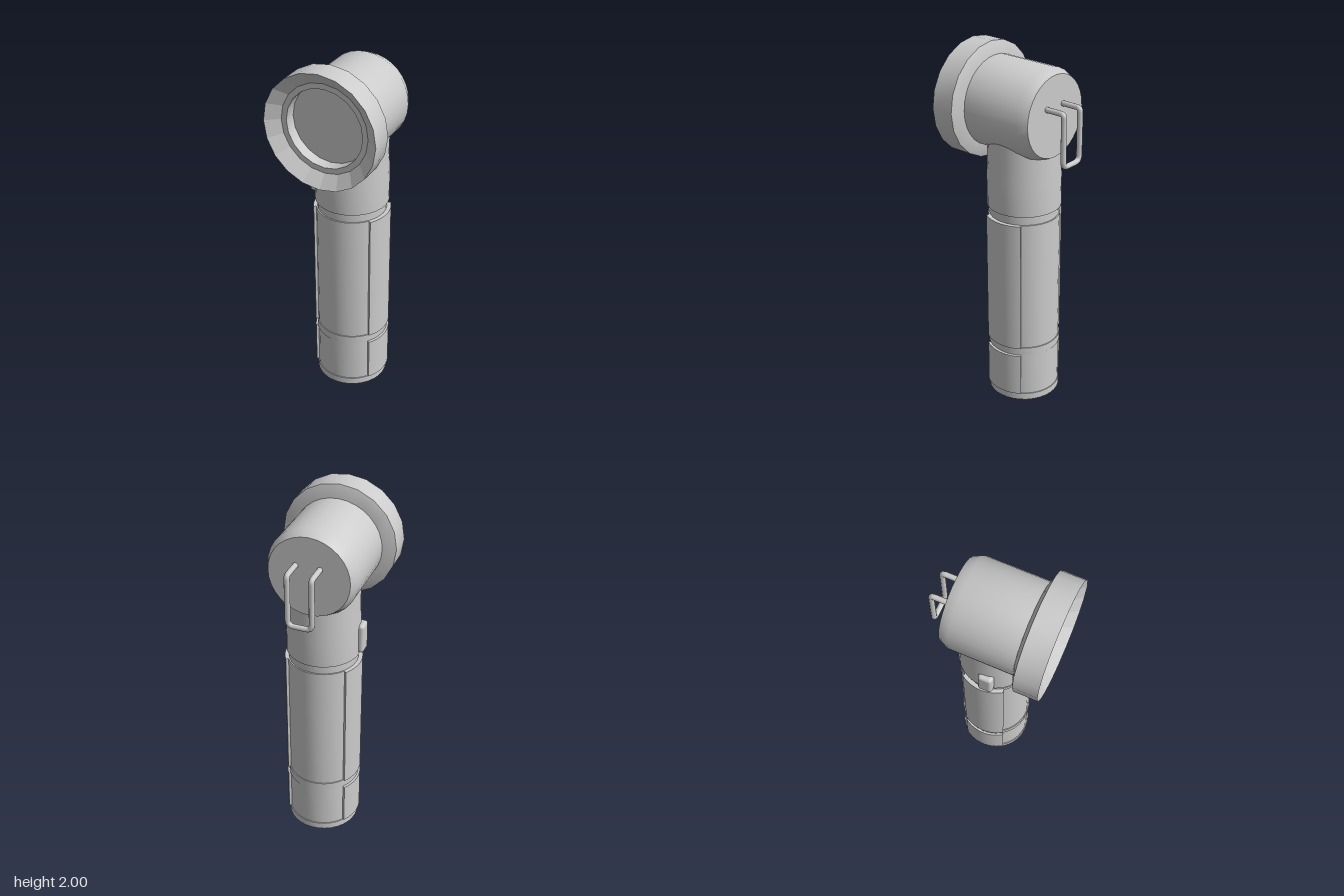
import * as THREE from 'three';
import { toCreasedNormals } from 'three/addons/utils/BufferGeometryUtils.js';
import { RoundedBoxGeometry } from 'three/addons/geometries/RoundedBoxGeometry.js';

const BODY_Z = -0.01; // handle axis
const HEAD_Y = 1.685; // lamp axis

const smooth = new THREE.MeshStandardMaterial({ color: 0xcccccc });
const faceted = new THREE.MeshStandardMaterial({ color: 0xcccccc, flatShading: true });

function addMesh(group, name, geometry, material = smooth) {
  const mesh = new THREE.Mesh(geometry, material);
  mesh.name = name;
  group.add(mesh);
  return mesh;
}

// Turned part: [radius, height] pairs, round sides with sharp steps
function turned(points, segments) {
  const profile = points.map(([r, h]) => new THREE.Vector2(r, h));
  return toCreasedNormals(new THREE.LatheGeometry(profile, segments), 0.5);
}

// Curved grip plate covering an arc around the +x side
function plate(inner, outer, halfAngle, height) {
  const shape = new THREE.Shape();
  shape.absarc(0, 0, outer, -halfAngle, halfAngle, false);
  shape.absarc(0, 0, inner, halfAngle, -halfAngle, true);
  shape.closePath();
  const geo = new THREE.ExtrudeGeometry(shape, { depth: height, bevelEnabled: false, curveSegments: 10 });
  return toCreasedNormals(geo.rotateX(-Math.PI / 2), 0.5);
}

// Path along straight runs joined by rounded corners
function roundedPath(points, radii) {
  const path = new THREE.CurvePath();
  let from = points[0];
  for (let i = 1; i < points.length - 1; i++) {
    const p = points[i], r = radii[i - 1];
    const a = p.clone().add(points[i - 1].clone().sub(p).setLength(r));
    const b = p.clone().add(points[i + 1].clone().sub(p).setLength(r));
    path.add(new THREE.LineCurve3(from, a));
    path.add(new THREE.QuadraticBezierCurve3(a, p, b));
    from = b;
  }
  path.add(new THREE.LineCurve3(from, points[points.length - 1]));
  return path;
}

export function createModel() {
  const model = new THREE.Group();
  model.name = 'angleHeadFlashlight';

  // Handle with base cap, ring and collar
  const handle = new THREE.Group();
  handle.name = 'handle';
  handle.position.z = BODY_Z;
  model.add(handle);
  addMesh(handle, 'barrel', turned([
    [0, 0], [0.2, 0], [0.2, 0.04], [0.195, 0.04],
    [0.195, 0.3], [0.2, 0.3], [0.2, 0.345], [0.195, 0.345],
    [0.195, 1.1], [0.188, 1.1], [0.188, 1.16],
  ], 32));
  addMesh(handle, 'collar', turned([
    [0.18, 1.15], [0.2, 1.15], [0.2, 1.33], [0.195, 1.43], [0.195, 1.58], [0, 1.58],
  ], 32));

  // Grip plates on both sides
  for (const side of [1, -1]) {
    for (const [name, y, height] of [['lowerGrip', 0.045, 0.25], ['upperGrip', 0.345, 0.755]]) {
      const grip = addMesh(handle, name, plate(0.185, 0.21, 0.608, height));
      grip.position.y = y;
      grip.rotation.y = side > 0 ? 0 : Math.PI;
    }
  }

  // Slide switch
  const slide = addMesh(handle, 'switch', new RoundedBoxGeometry(0.055, 0.17, 0.08, 3, 0.018));
  slide.position.set(-0.198, 1.245, 0.03);

  // Lamp head, lying along z
  const head = new THREE.Group();
  head.name = 'head';
  head.position.y = HEAD_Y;
  head.rotation.x = Math.PI / 2;
  model.add(head);
  addMesh(head, 'housing', turned([
    [0, -0.215], [0.22, -0.215], [0.245, -0.16], [0.245, 0.19],
  ], 32));
  addMesh(head, 'bezel', turned([
    [0.24, 0.185], [0.245, 0.185], [0.315, 0.21], [0.315, 0.34],
  ], 20));
  addMesh(head, 'reflector', turned([[0.315, 0.34], [0.245, 0.285]], 20), faceted);
  addMesh(head, 'lensRing', turned([[0.245, 0.285], [0.215, 0.285], [0.215, 0.22]], 20));
  addMesh(head, 'lens', turned([[0.215, 0.22], [0, 0.22]], 20));

  // Bent wire belt clip
  const clipPoints = [
    [-0.06, 1.74, -0.2], [-0.06, 1.74, -0.325], [-0.06, 1.455, -0.325],
    [0.07, 1.455, -0.325], [0.07, 1.74, -0.325], [0.07, 1.74, -0.2],
  ].map((p) => new THREE.Vector3(...p));
  const clipPath = roundedPath(clipPoints, [0.02, 0.035, 0.035, 0.02]);
  addMesh(model, 'beltClip', new THREE.TubeGeometry(clipPath, 120, 0.015, 10, false));

  return model;
}
